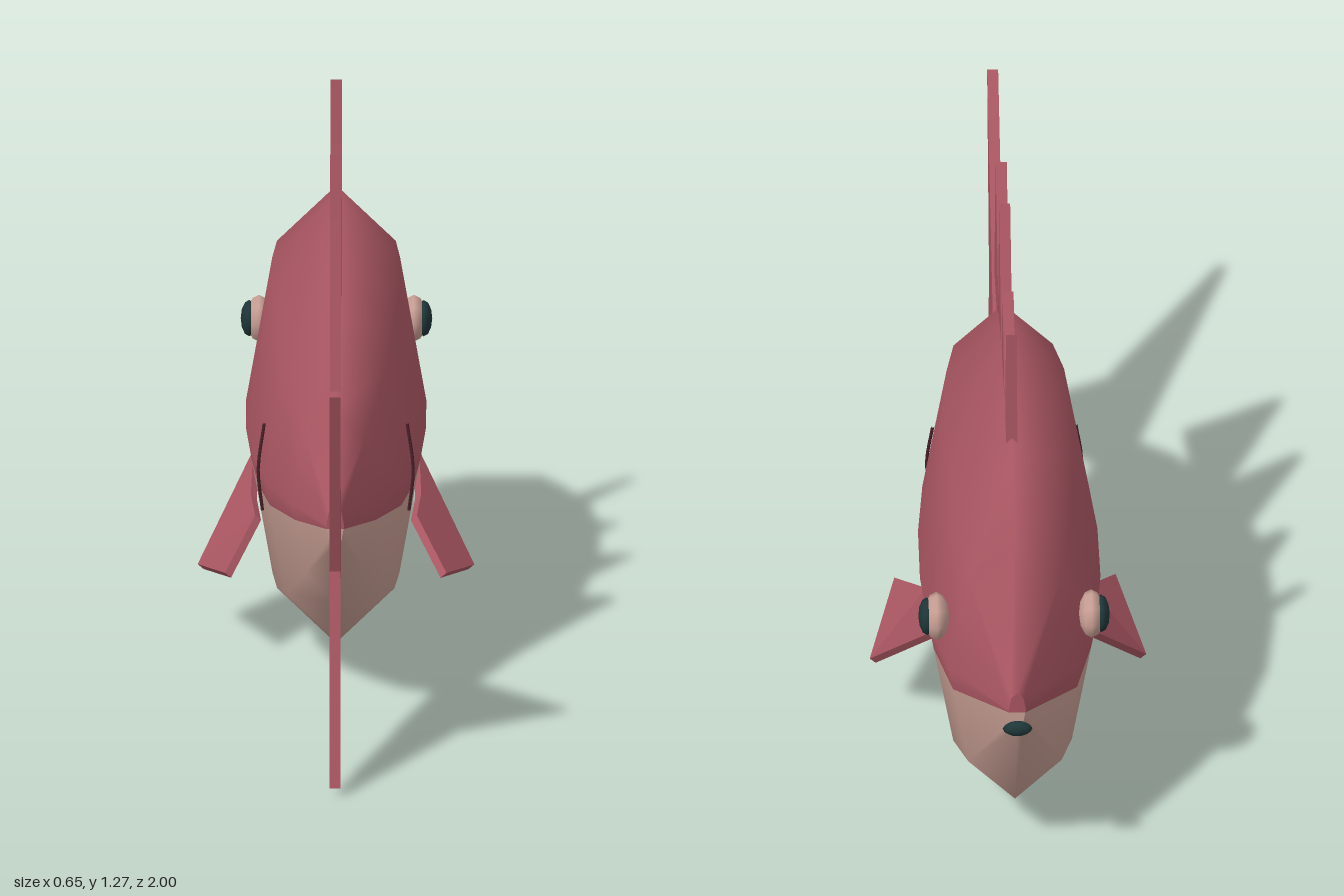
import * as THREE from 'three';

const mat = (name, color, side = THREE.FrontSide) => {
  const m = new THREE.MeshStandardMaterial({ color, side });
  m.name = name;
  return m;
};

export function createModel() {
  const red = mat('scaleRed', 0xa95662);
  const belly = mat('bellyBeige', 0xc89f94);
  const dark = mat('darkTeal', 0x1f3638);
  const maroon = mat('gillMaroon', 0x4a2029);

  const model = new THREE.Group();
  model.name = 'fish';
  const add = (name, geometry, material, parent = model) => {
    const mesh = new THREE.Mesh(geometry, material);
    mesh.name = name;
    parent.add(mesh);
    return mesh;
  };

  // Body: octagonal rings [z, half height, centre y], split into back and belly
  const rings = [
    [-0.97, 0.048, 0.525], [-0.78, 0.37, 0.513], [-0.59, 0.47, 0.514],
    [-0.4, 0.505, 0.514], [-0.2, 0.502, 0.511], [-0.01, 0.464, 0.51],
    [0.17, 0.392, 0.508], [0.37, 0.24, 0.517], [0.55, 0.05, 0.527],
  ];
  const split = [0.938, -0.15];
  const octagon = (k) => [Math.cos(k * Math.PI / 4), Math.sin(k * Math.PI / 4)];
  const section = [split, ...[0, 1, 2, 3, 4].map(octagon), [-split[0], split[1]], ...[5, 6, 7].map(octagon)];
  const n = section.length;
  const positions = [];
  const pushRing = ([z, r, cy]) => {
    for (const [u, v] of section) positions.push(u * r * 0.42, cy + v * r, z);
  };
  rings.forEach(pushRing);
  const noseCap = rings.length * n, tailCap = noseCap + n;
  pushRing(rings[0]);
  pushRing(rings[rings.length - 1]);
  const upper = [], lower = [];
  for (let i = 0; i < rings.length - 1; i++) {
    for (let j = 0; j < n; j++) {
      const a = i * n + j, b = i * n + (j + 1) % n;
      (j < 6 ? upper : lower).push(a, b, b + n, a, b + n, a + n);
    }
  }
  const fan = (list, ids) => {
    for (let k = 1; k < ids.length - 1; k++) {
      list.push(tailCap + ids[0], tailCap + ids[k], tailCap + ids[k + 1]);
      list.push(noseCap + ids[0], noseCap + ids[k + 1], noseCap + ids[k]);
    }
  };
  fan(upper, [0, 1, 2, 3, 4, 5, 6]);
  fan(lower, [6, 7, 8, 9, 0]);
  const body = new THREE.BufferGeometry();
  body.setAttribute('position', new THREE.Float32BufferAttribute(positions, 3));
  body.setIndex([...upper, ...lower]);
  body.addGroup(0, upper.length, 0);
  body.addGroup(upper.length, lower.length, 1);
  body.computeVertexNormals();
  add('body', body, [red, belly]);

  // Flat upright fins, outlined as [z, y]
  const plateFin = (name, outline) => {
    const shape = new THREE.Shape(outline.map(([z, y]) => new THREE.Vector2(z, y)));
    const g = new THREE.ExtrudeGeometry(shape, { depth: 0.026, bevelEnabled: false });
    g.translate(0, 0, -0.013).rotateY(-Math.PI / 2);
    add(name, g, red);
  };
  plateFin('tailFin', [[1, 1], [0.845, 0.515], [1, 0.03], [0.53, 0.44], [0.45, 0.515], [0.53, 0.59]]);
  plateFin('rearDorsalFin', [[0.43, 0.82], [0.315, 1.205], [0.11, 0.94], [0.15, 0.85]]);
  plateFin('tallDorsalFin', [[0.115, 0.95], [0.04, 1.275], [-0.135, 0.98], [0.1, 0.9]]);
  plateFin('middleDorsalFin', [[-0.165, 0.97], [-0.23, 1.21], [-0.39, 1.0]]);
  plateFin('frontDorsalFin', [[-0.44, 0.97], [-0.505, 1.275], [-0.53, 0.96]]);

  // Paired parts on both flanks
  for (const s of [1, -1]) {
    const side = new THREE.Group();
    side.name = s > 0 ? 'leftSide' : 'rightSide';
    model.add(side);

    // Folded pectoral fin with a thin rim
    const outer = [[0.195, 0.38, -0.435], [0.325, 0.168, -0.225], [0.26, 0.23, 0.02],
      [0.19, 0.315, -0.15], [0.2, 0.33, -0.26]];
    const inner = outer.map(([x, y, z]) => [x - 0.014, y - 0.012, z]);
    const pts = [...outer, ...inner];
    const tris = [[1, 4, 0], [1, 3, 4], [1, 2, 3]];
    const faces = [...tris, ...tris.map(([a, b, c]) => [a + 5, c + 5, b + 5])];
    for (let i = 0; i < 5; i++) {
      const j = (i + 1) % 5;
      faces.push([i, i + 5, j + 5], [i, j + 5, j]);
    }
    // Orient the corners so every face looks outward
    const verts = faces.flatMap(([a, b, c]) => (s > 0 ? [a, c, b] : [a, b, c]))
      .flatMap((k) => [s * pts[k][0], pts[k][1], pts[k][2]]);
    const fin = new THREE.BufferGeometry();
    fin.setAttribute('position', new THREE.Float32BufferAttribute(verts, 3));
    fin.computeVertexNormals();
    add('pectoralFin', fin, red, side);

    // Eye: flattened pale rim and dark pupil
    const disc = (name, x, half, r, material) => {
      const g = new THREE.SphereGeometry(1, 8, 6).rotateZ(Math.PI / 2).scale(half, r, r);
      g.translate(s * x, 0.615, -0.705);
      add(name, g, material, side);
    };
    disc('eyeRim', 0.182, 0.03, 0.058, belly);
    disc('pupil', 0.205, 0.02, 0.045, dark);

    // Thin curved flank line
    const curve = new THREE.CatmullRomCurve3([[0.168, 0.62, 0.075], [0.182, 0.51, 0.085], [0.172, 0.405, 0.075]]
      .map(([x, y, z]) => new THREE.Vector3(s * x, y, z)));
    add('flankLine', new THREE.TubeGeometry(curve, 8, 0.004, 5), maroon, side);
  }

  // Nose
  add('nose', new THREE.SphereGeometry(1, 8, 6).scale(0.035, 0.019, 0.016).translate(0, 0.482, -0.984), dark);

  return model;
}
